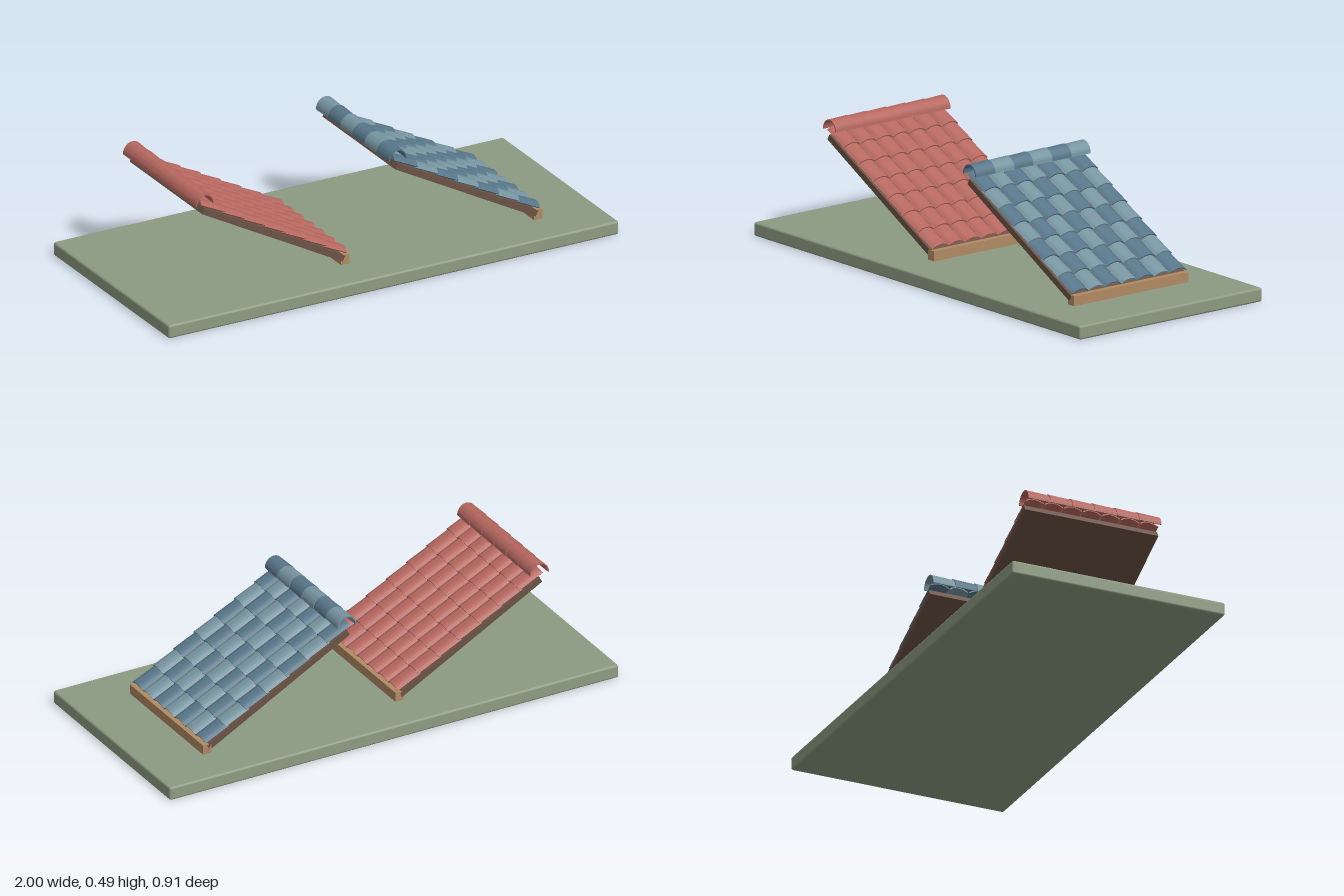
import * as THREE from 'three';
import { toCreasedNormals } from 'three/addons/utils/BufferGeometryUtils.js';
import { RoundedBoxGeometry } from 'three/addons/geometries/RoundedBoxGeometry.js';

const mat = (name, color) => new THREE.MeshStandardMaterial({ name, color });

function addMesh(parent, name, geometry, material, x = 0, y = 0, z = 0) {
  const m = new THREE.Mesh(geometry, material);
  m.name = name;
  m.position.set(x, y, z);
  parent.add(m);
  return m;
}

// Curved shell: an arc section (given half width and rise) run along z,
// its far end (+z) scaled by endScale. The feet of the arc sit at y = 0.
function archShell(halfWidth, rise, thickness, length, endScale) {
  const r = (halfWidth ** 2 + rise ** 2) / (2 * rise);
  const cy = rise - r;
  const a = Math.atan2(-cy, halfWidth);
  const shape = new THREE.Shape();
  shape.absarc(0, cy, r, a, Math.PI - a, false);
  shape.absarc(0, cy, r - thickness, Math.PI - a, a, true);
  shape.closePath();
  const g = new THREE.ExtrudeGeometry(shape, { depth: length, bevelEnabled: false, curveSegments: 14 });
  g.translate(0, 0, -length / 2);
  const p = g.attributes.position;
  for (let i = 0; i < p.count; i++) {
    const k = 1 + (endScale - 1) * (p.getZ(i) / length + 0.5);
    p.setXY(i, p.getX(i) * k, p.getY(i) * k);
  }
  return toCreasedNormals(g, 0.6);
}

export function createModel() {
  const model = new THREE.Group();
  model.name = 'roofTileSamples';

  const green = mat('sage green', 0x8d9b82);
  const wood = mat('light wood', 0xb08a62);
  const brown = mat('dark brown', 0x6a5244);
  const red = mat('terracotta red', 0xb5675f);
  const darkBlue = mat('slate blue', 0x577689);
  const lightBlue = mat('pale blue', 0x76949f);

  // Base slab
  addMesh(model, 'baseSlab', new RoundedBoxGeometry(2, 0.056, 0.91, 2, 0.009), green, 0, 0.028, 0);

  const columns = 7, rows = 7, caps = 6, width = 0.57;
  const pitch = width / columns, exposure = 0.1027, capPitch = width / caps;
  const slope = THREE.MathUtils.degToRad(28.5);

  // Shared geometries; tiles run along local x, down the slope
  const tileGeometry = archShell(0.0397, 0.017, 0.005, exposure + 0.012, 1.02).rotateY(Math.PI / 2);
  const capGeometry = archShell(0.0425, 0.0425, 0.005, capPitch, 0.94);
  const deckGeometry = new THREE.BoxGeometry(0.71, 0.025, width);
  const boardGeometry = new THREE.BoxGeometry(0.037, 0.041, width);

  function roofPanel(name, offset, colours) {
    const panel = new THREE.Group();
    panel.name = name;
    panel.position.x = offset;
    model.add(panel);

    // Sloping deck with its tiles
    const slopeGroup = new THREE.Group();
    slopeGroup.name = 'slope';
    slopeGroup.position.set(-0.4375, 0.25, 0);
    slopeGroup.rotation.z = -slope;
    panel.add(slopeGroup);
    addMesh(slopeGroup, 'deck', deckGeometry, brown);

    // Overlapping tiles, each with its lower end lifted a little
    for (let c = 0; c < columns; c++) {
      for (let r = 0; r < rows; r++) {
        const tile = addMesh(slopeGroup, 'roofTile', tileGeometry, colours[(c + r) % 2],
          0.355 - (exposure + 0.012) / 2 - r * exposure, 0.0225, (c - (columns - 1) / 2) * pitch);
        tile.rotation.z = 0.055;
      }
    }

    // Ridge caps, wider towards the back
    for (let i = 0; i < caps; i++) {
      addMesh(panel, 'ridgeCap', capGeometry, colours[i % 2],
        -0.743, 0.446, width / 2 - (i + 0.5) * capPitch).scale.setScalar(1).setY(1.09);
    }

    // Board at the eave
    addMesh(panel, 'eaveBoard', boardGeometry, wood, -0.1205, 0.0755, 0);
  }

  roofPanel('redRoofPanel', 0, [red, red]);
  roofPanel('blueRoofPanel', 0.857, [darkBlue, lightBlue]);
  return model;
}
